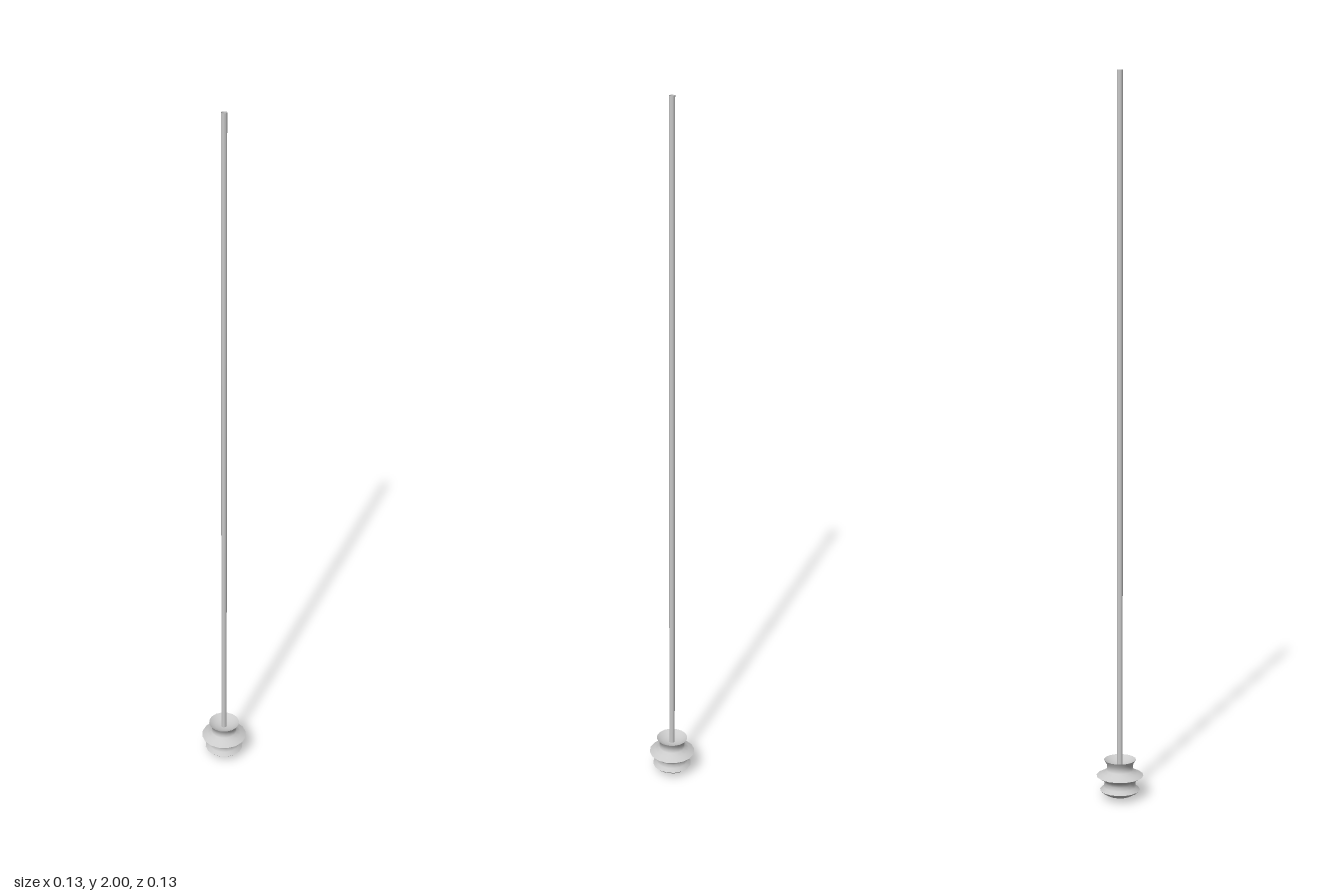
import * as THREE from 'three';

export function createModel() {
  const group = new THREE.Group();
  const material = new THREE.MeshStandardMaterial({ color: 0xcccccc, side: THREE.DoubleSide });
  const sides = 16;

  // Adds one turned section, given as [radius, height] pairs from bottom to top
  function addTurned(name, profile) {
    const points = profile.map(([r, y]) => new THREE.Vector2(r, y));
    const mesh = new THREE.Mesh(new THREE.LatheGeometry(points, sides), material);
    mesh.name = name;
    group.add(mesh);
  }

  // Rounded underside below the lower flange
  addTurned('underside', [[0, 0.003], [0.018, 0.005], [0.036, 0.012], [0.05, 0.02], [0.056, 0.026]]);

  // Lower flange, waist and wide middle flange
  addTurned('lowerBody', [[0.056, 0.026], [0.046, 0.035], [0.043, 0.045], [0.047, 0.056], [0.066, 0.067]]);

  // Middle flange sweeping up to the neck and top rim
  addTurned('upperBody', [[0.066, 0.067], [0.05, 0.075], [0.038, 0.083], [0.036, 0.092], [0.038, 0.102], [0.045, 0.113]]);

  // Shallow dish inside the top rim
  addTurned('topDish', [[0.045, 0.113], [0.038, 0.108], [0.026, 0.102], [0.012, 0.099], [0, 0.098]]);

  // Long slender open tube
  const bottom = 0.095, top = 2;
  const rod = new THREE.Mesh(
    new THREE.CylinderGeometry(0.008, 0.008, top - bottom, 8, 1, true), material);
  rod.position.y = (top + bottom) / 2;
  rod.name = 'rod';
  group.add(rod);

  return group;
}
